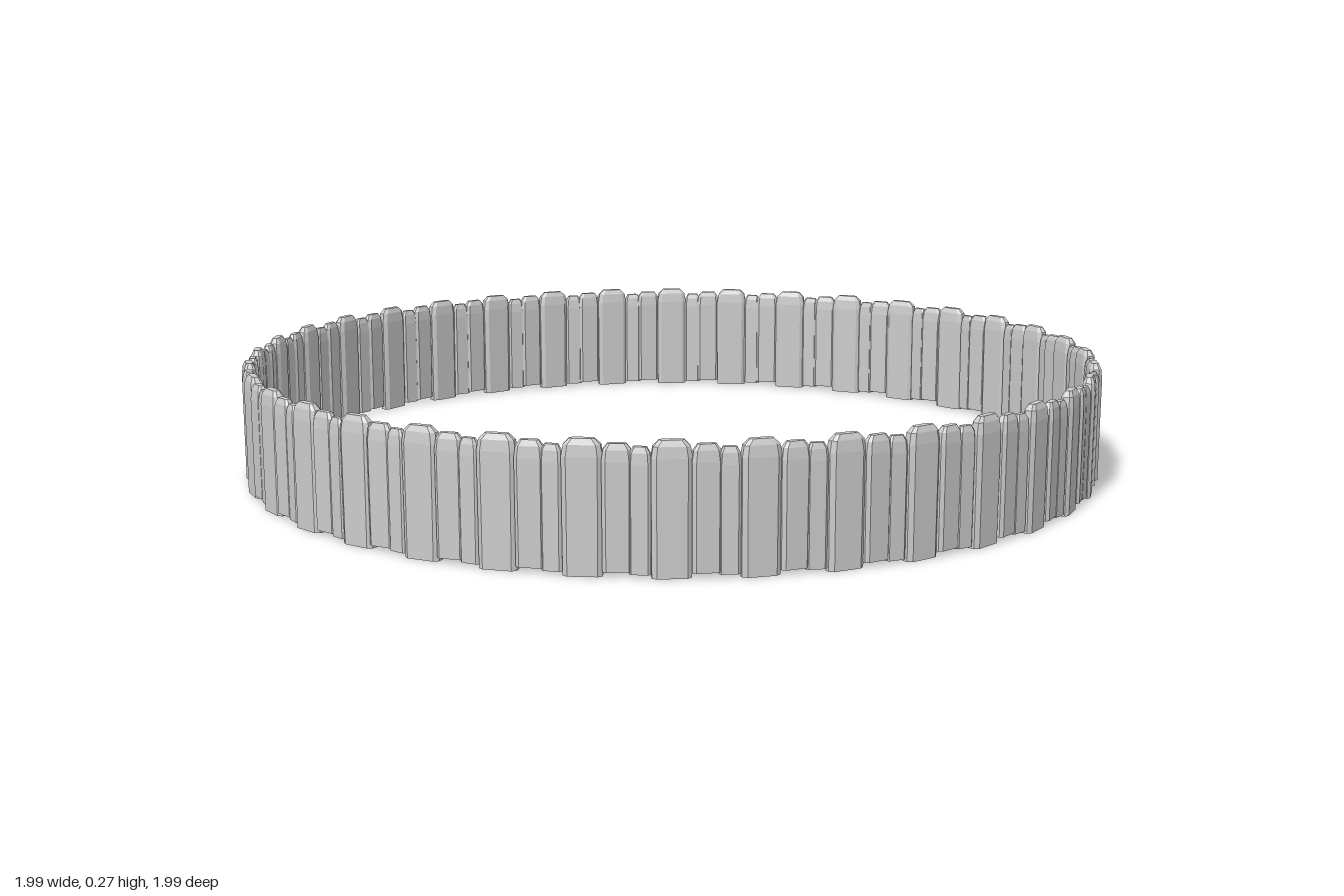
import * as THREE from 'three';

// One upright plank: chamfered octagonal section, rounded off towards the top
function plankGeometry(width, thick, bottom, top) {
  const geo = new THREE.CylinderGeometry(1, 1, 1, 8, 3, false, Math.PI / 8).toNonIndexed();
  const levels = [
    { y: bottom, sx: 0.97, sz: 0.95 },
    { y: top - 0.035, sx: 1, sz: 1 },
    { y: top - 0.012, sx: 0.9, sz: 0.85 },
    { y: top, sx: 0.6, sz: 0.5 },
  ];
  const squash = (v, inner) =>
    Math.abs(v) < 0.01 ? 0 : Math.sign(v) * (Math.abs(v) > 0.6 ? 1 : inner);
  const pos = geo.attributes.position;
  for (let i = 0; i < pos.count; i++) {
    const level = levels[Math.round((pos.getY(i) + 0.5) * 3)];
    pos.setXYZ(
      i,
      squash(pos.getX(i), 0.76) * level.sx * width / 2,
      level.y,
      squash(pos.getZ(i), 0.5) * level.sz * thick / 2
    );
  }
  geo.computeVertexNormals();
  return geo;
}

export function createModel() {
  const fence = new THREE.Group();
  fence.name = 'roundPalisade';
  const material = new THREE.MeshStandardMaterial({ color: 0xcccccc, flatShading: true });

  // Three plank kinds repeat around the ring; offset is along the arc
  const kinds = [
    { name: 'widePlank', width: 0.08, thick: 0.03, bottom: 0, top: 0.27, offset: 0.075, yaw: 0.1 },
    { name: 'mediumPlank', width: 0.06, thick: 0.026, bottom: 0.01, top: 0.262, offset: 0.142, yaw: 0.13 },
    { name: 'narrowPlank', width: 0.044, thick: 0.022, bottom: 0.006, top: 0.256, offset: 0.015, yaw: -0.06 },
  ];
  const repeats = 36;
  const radius = 0.979;

  for (const kind of kinds) {
    const geo = plankGeometry(kind.width, kind.thick, kind.bottom, kind.top);
    for (let i = 0; i < repeats; i++) {
      const angle = (i / repeats) * Math.PI * 2 + kind.offset / radius;
      const plank = new THREE.Mesh(geo, material);
      plank.name = kind.name;
      plank.position.set(Math.sin(angle) * radius, 0, Math.cos(angle) * radius);
      plank.rotation.y = angle + kind.yaw;
      fence.add(plank);
    }
  }
  return fence;
}
